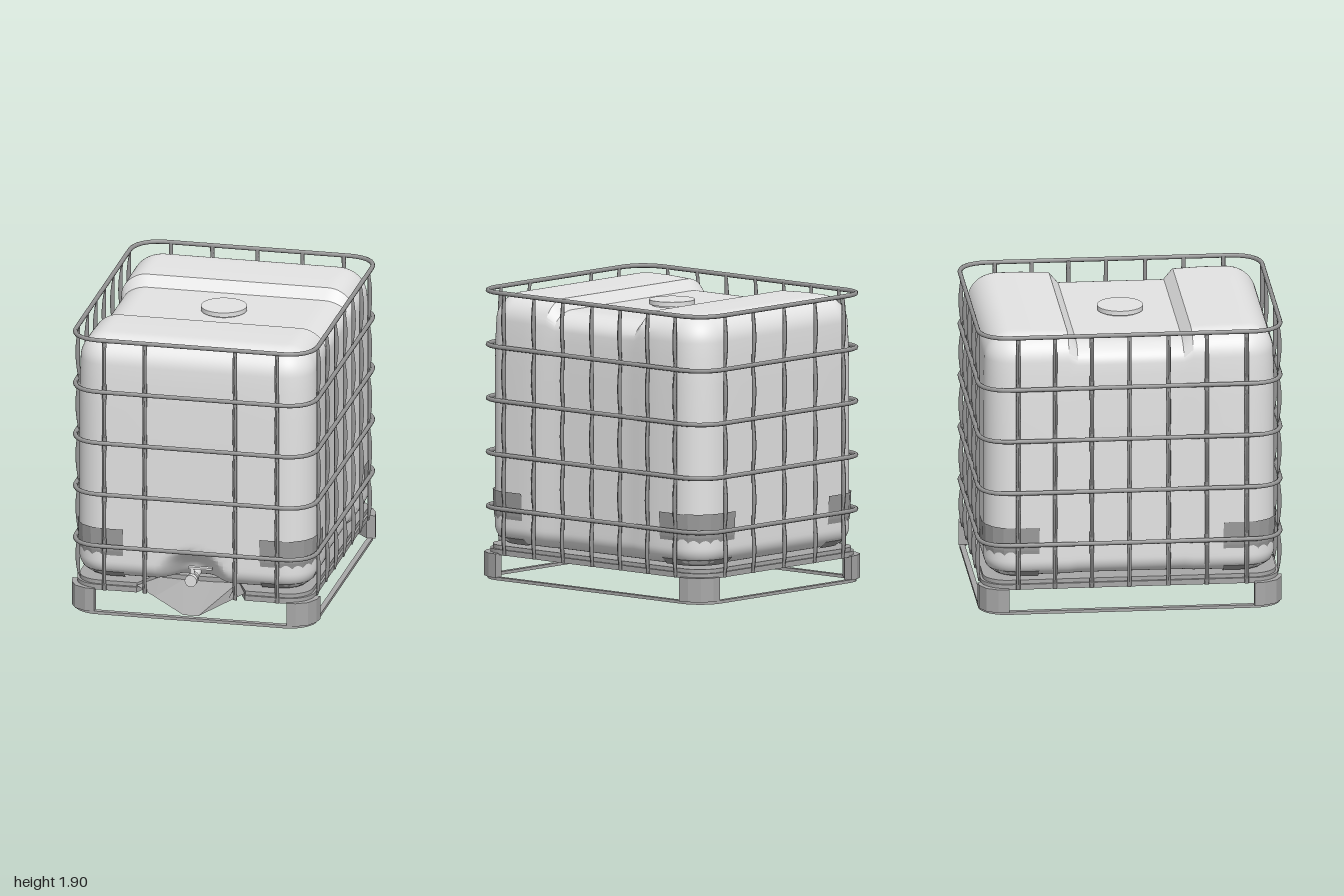
import * as THREE from 'three';
import { toCreasedNormals } from 'three/addons/utils/BufferGeometryUtils.js';

const mat = (name, color, side = THREE.FrontSide) => {
  const m = new THREE.MeshStandardMaterial({ color, side });
  m.name = name;
  return m;
};
const clamp = THREE.MathUtils.clamp;

// Rounded rectangle in plan, with an optional notch [front half width, back half width, back z]
function roundRect(hx, hz, r, notch) {
  const s = new THREE.Shape();
  s.moveTo(-hx + r, -hz).lineTo(hx - r, -hz);
  s.absarc(hx - r, -hz + r, r, -Math.PI / 2, 0);
  s.lineTo(hx, hz - r);
  s.absarc(hx - r, hz - r, r, 0, Math.PI / 2);
  if (notch) {
    const [a, b, z] = notch;
    s.lineTo(a, hz).lineTo(b, z).lineTo(-b, z).lineTo(-a, hz);
  }
  s.lineTo(-hx + r, hz);
  s.absarc(-hx + r, hz - r, r, Math.PI / 2, Math.PI);
  s.lineTo(-hx, -hz + r);
  s.absarc(-hx + r, -hz + r, r, Math.PI, Math.PI * 1.5);
  return s;
}

// Plan shape extruded between two heights
function slab(shape, y0, y1) {
  const g = new THREE.ExtrudeGeometry(shape, { depth: y1 - y0, bevelEnabled: false, curveSegments: 6 });
  return g.rotateX(Math.PI / 2).translate(0, y1, 0);
}

// Surface lofted between rows of points
function loft(rows) {
  const n = rows[0].length, index = [];
  for (let r = 0; r < rows.length - 1; r++)
    for (let i = 0; i < n - 1; i++) {
      const a = r * n + i, b = a + n;
      index.push(a, b, a + 1, b, b + 1, a + 1);
    }
  const g = new THREE.BufferGeometry();
  g.setAttribute('position', new THREE.Float32BufferAttribute(rows.flat(2), 3));
  g.setIndex(index);
  const flat = g.toNonIndexed();
  flat.computeVertexNormals();
  return flat;
}

// Rounded tank with a saddle across the top and a dent for the valve
function tankGeometry() {
  const hx = 0.787, hz = 0.948, y0 = 0.235, y1 = 1.872, R = 0.2, rTop = 0.17, rBase = 0.12;
  const hy = (y1 - y0) / 2, cy = (y1 + y0) / 2;
  const edge = (h, rad) => Array.from({ length: 9 }, (_, i) => h - rad * (8 - i) / 8);
  const ticks = (h, low, mids, high) => [...edge(h, low).map(v => -v).reverse(), ...mids, ...edge(h, high)];
  const xs = ticks(hx, R, Array.from({ length: 17 }, (_, i) => -0.28 + i * 0.035), R);
  const zs = ticks(hz, R, [-0.6, -0.41, -0.35, -0.2, 0, 0.2, 0.35, 0.41, 0.6], R);
  const ys = ticks(hy, rBase, [0.38, 0.41, 0.44, 0.47, 0.5, 0.53, 0.8, 1.2, 1.4, 1.5, 1.6].map(y => y - cy), rTop);
  const g = new THREE.BoxGeometry(1, 1, 1, xs.length - 1, ys.length - 1, zs.length - 1);
  const p = g.attributes.position;
  const pick = (list, t) => list[Math.round((t + 0.5) * (list.length - 1))];
  for (let i = 0; i < p.count; i++) {
    let x = pick(xs, p.getX(i)), y = pick(ys, p.getY(i)), z = pick(zs, p.getZ(i));
    // round the vertical corners
    const qx = clamp(x, R - hx, hx - R), qz = clamp(z, R - hz, hz - R);
    const dx = x - qx, dz = z - qz, r = y > 0 ? rTop : rBase;
    const len = Math.max(Math.abs(dx), Math.abs(dz));
    // round the top and bottom edges
    let out = len;
    const w = Math.max(0, len - R + r), u = Math.max(0, Math.abs(y) - hy + r);
    if (w > 0 && u > 0) {
      const m = Math.max(w, u) / Math.hypot(w, u);
      out = R - r + w * m;
      y = Math.sign(y) * (hy - r + u * m);
    }
    const k = len > 0 ? out / Math.hypot(dx, dz) : 0;
    x = qx + dx * k;
    z = qz + dz * k;
    y += cy;
    // slight taper to the top
    const t = clamp((y - 1.35) / 0.5, 0, 1);
    x *= 1 - 0.02 * t * t;
    z *= 1 - 0.015 * t * t;
    // saddle and shallow side waist
    const s = clamp((0.41 - Math.abs(z)) / 0.06, 0, 1);
    y -= 0.077 * s * clamp((y - 1.6) / 0.27, 0, 1);
    x *= 1 - 0.025 * s;
    // valve dent
    if (z > 0.7) {
      const d = clamp(1.4 * (1 - Math.hypot(x / 0.25, (y - 0.26) / 0.23)), 0, 1);
      z -= 0.14 * d * d * (3 - 2 * d);
    }
    p.setXYZ(i, x, y, z);
  }
  return toCreasedNormals(g, 0.5);
}

// Closed rail path around the cage
function railPath(hx, hz, r, y) {
  const path = new THREE.CurvePath(), v = (x, z) => new THREE.Vector3(x, y, z);
  const c = [[1, 1], [1, -1], [-1, -1], [-1, 1]];
  c.forEach(([sx, sz], i) => {
    const alongX = v(sx * (hx - r), sz * hz), alongZ = v(sx * hx, sz * (hz - r));
    const [a, b] = i % 2 ? [alongZ, alongX] : [alongX, alongZ];
    const mid = v(sx * (hx - r * 0.1), sz * (hz - r * 0.1));
    path.add(new THREE.QuadraticBezierCurve3(a, mid, b));
    const [nx, nz] = c[(i + 1) % 4];
    path.add(new THREE.LineCurve3(b, i % 2 ? v(nx * (hx - r), nz * hz) : v(nx * hx, nz * (hz - r))));
  });
  return path;
}

// Straight upright, pressed flat where it crosses each rail; its back lies on z = 0
function uprightGeometry(stops) {
  const y0 = stops[0], y1 = stops[stops.length - 1], r = 0.014;
  const g = new THREE.CylinderGeometry(r, r, y1 - y0, 8, 50).translate(0, (y0 + y1) / 2, 0);
  const p = g.attributes.position;
  for (let i = 0; i < p.count; i++) {
    const y = p.getY(i);
    const b = clamp(stops.findIndex(s => s >= y - 1e-5), 1, stops.length - 1);
    const bulge = Math.sin(Math.PI * clamp((y - stops[b - 1]) / (stops[b] - stops[b - 1]), 0, 1));
    p.setZ(i, (p.getZ(i) / r + 1) / 2 * (0.011 + 0.019 * bulge));
  }
  g.computeVertexNormals();
  return g;
}

export function createModel() {
  const model = new THREE.Group();
  model.name = 'bulkContainer';
  const plastic = mat('tankPlastic', 0xe4e4e4);
  const steel = mat('cageSteel', 0x969696);
  const guardGrey = mat('guardGrey', 0x9c9c9c, THREE.DoubleSide);
  const palletGrey = mat('palletGrey', 0xa8a8a8, THREE.DoubleSide);
  const add = (name, geo, material, parent = model) => {
    const m = new THREE.Mesh(geo, material);
    m.name = name;
    parent.add(m);
    return m;
  };
  const group = name => {
    const g = new THREE.Group();
    g.name = name;
    model.add(g);
    return g;
  };

  // Tank and lid
  add('tank', tankGeometry(), plastic);
  add('lidNeck', new THREE.CylinderGeometry(0.13, 0.13, 0.03, 32).translate(0, 1.8, 0), plastic);
  add('lid', new THREE.CylinderGeometry(0.15, 0.15, 0.03, 32).translate(0, 1.82, 0), plastic);

  // Cage rails and uprights
  const cage = group('cage');
  const railYs = [0.47, 0.825, 1.178, 1.53, 1.885], hx = 0.805, hz = 0.985;
  for (const y of railYs)
    add('rail', new THREE.TubeGeometry(railPath(hx, hz, 0.18, y), 140, 0.015, 8, true), steel, cage);
  const uprightGeo = uprightGeometry([0.165, ...railYs]);
  const upright = (x, z, turn) => {
    const m = add('upright', uprightGeo, steel, cage);
    m.position.set(x, 0, z);
    m.rotation.y = turn;
  };
  for (const x of [-0.575, -0.305, 0.295, 0.575]) upright(x, hz - 0.017, 0);
  for (const x of [-0.575, -0.3, 0, 0.3, 0.575]) upright(x, 0.017 - hz, Math.PI);
  for (const z of [-0.74, -0.5, -0.26, -0.015, 0.24, 0.49, 0.75])
    for (const s of [-1, 1]) upright(s * (hx - 0.017), z, s * Math.PI / 2);

  // Faceted guards around the lower tank corners
  const guards = group('cornerGuards');
  const rowsAt = [[0.585, 0], [0.43, 0.006], [0.28, 0.03], [0.236, 0.08]];
  for (const sx of [-1, 1]) for (const sz of [-1, 1]) {
    const rows = rowsAt.map(([y, inset]) => {
      const gx = 0.797 - inset, gz = 0.959 - inset, r = 0.2 - inset * 0.5, row = [[sx * 0.455, y, sz * gz]];
      for (let i = 0; i <= 4; i++) {
        const a = Math.PI / 2 * (1 - i / 4);
        row.push([sx * (gx - r + r * Math.cos(a)), y, sz * (gz - r + r * Math.sin(a))]);
      }
      row.push([sx * gx, y, sz * 0.6]);
      return row;
    });
    add('cornerGuard', loft(rows), guardGrey, guards);
  }

  // Pallet: deck plate on a rim, feet and ground frame
  const pallet = group('pallet');
  const rim = roundRect(0.79, 0.97, 0.17, [0.36, 0.26, 0.74]);
  rim.holes.push(roundRect(0.73, 0.91, 0.12, [0.42, 0.32, 0.68]));
  add('deckRim', slab(rim, 0.165, 0.2), palletGrey, pallet);
  add('deck', slab(roundRect(0.775, 0.955, 0.16, [0.36, 0.26, 0.74]), 0.195, 0.226), palletGrey, pallet);
  const frame = roundRect(0.805, 0.985, 0.18);
  frame.holes.push(roundRect(0.77, 0.95, 0.15));
  add('groundFrame', slab(frame, 0, 0.02), palletGrey, pallet);
  const footPlan = [[0.64, 0.93], [0.64, 0.99], [0.7, 0.985], [0.775, 0.945], [0.815, 0.87], [0.825, 0.8], [0.765, 0.8]];
  for (const sx of [-1, 1]) for (const sz of [-1, 1]) {
    const shape = new THREE.Shape(footPlan.map(([x, z]) => new THREE.Vector2(sx * x, sz * z)));
    add('foot', slab(shape, 0.018, 0.175), palletGrey, pallet);
  }

  // Drain chute folded down from the deck
  const lip = [[-0.36, 0.215], [-0.24, 0.145], [-0.05, 0.035], [0.05, 0.035], [0.24, 0.145], [0.36, 0.215]];
  const root = [[-0.26, 0.22], [-0.26, 0.2], [-0.1, 0.195], [0.1, 0.195], [0.26, 0.2], [0.26, 0.22]];
  add('drainChute', loft([root.map(([x, y]) => [x, y, 0.74]), lip.map(([x, y]) => [x, y, 0.972])]), palletGrey, pallet);

  // Drain valve with lever
  const valve = group('valve');
  const along = (r, z0, z1) => new THREE.CylinderGeometry(r, r, z1 - z0, 16).rotateX(Math.PI / 2).translate(0, 0.272, (z0 + z1) / 2);
  add('valvePipe', along(0.028, 0.78, 0.95), plastic, valve);
  add('valveCollar', along(0.036, 0.88, 0.91), plastic, valve);
  add('valveCap', along(0.04, 0.94, 0.975), plastic, valve);
  add('valveStem', new THREE.CylinderGeometry(0.014, 0.018, 0.07, 10).translate(0, 0.318, 0.925), plastic, valve);
  add('valveLever', new THREE.BoxGeometry(0.16, 0.014, 0.03).translate(0.055, 0.35, 0.925), plastic, valve);
  return model;
}
